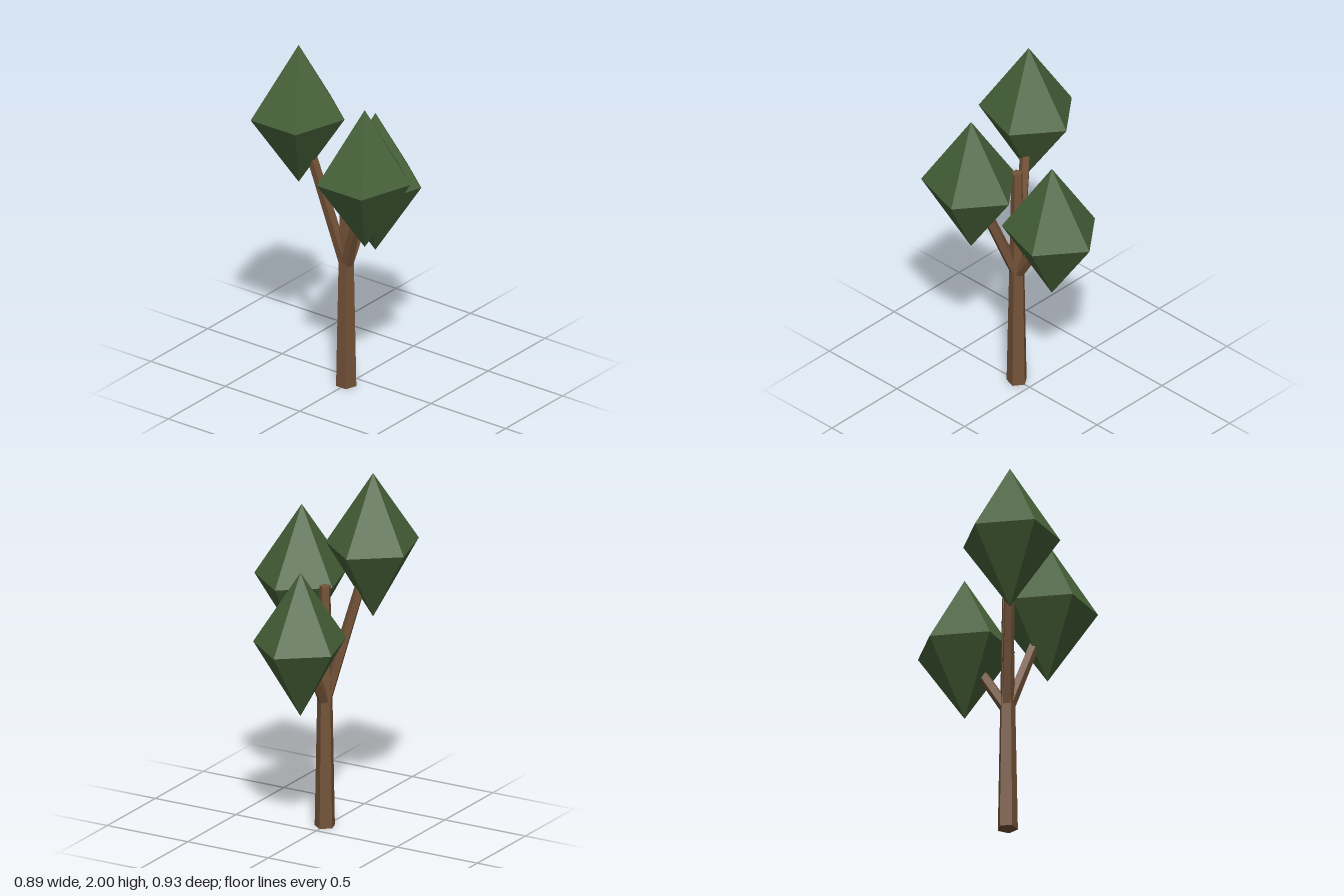
import * as THREE from 'three';

const bark = new THREE.MeshStandardMaterial({ color: 0x735238 });
bark.name = 'bark brown';
const leaf = new THREE.MeshStandardMaterial({ color: 0x456038 });
leaf.name = 'leaf green';

const SIDES = 5;
const UP = new THREE.Vector3(0, 1, 0);

// Give every face its own normal for a faceted look
function faceted(geometry) {
  const g = geometry.toNonIndexed();
  g.computeVertexNormals();
  return g;
}

// Tapered five-sided limb between two points
function limb(name, from, to, r0, r1) {
  const dir = to.clone().sub(from);
  const geo = new THREE.CylinderGeometry(r1, r0, dir.length(), SIDES, 1, false, Math.PI / 2);
  const mesh = new THREE.Mesh(faceted(geo), bark);
  mesh.name = name;
  mesh.position.copy(from).add(to).multiplyScalar(0.5);
  mesh.quaternion.setFromUnitVectors(UP, dir.normalize());
  return mesh;
}

// Five-sided double pyramid with one corner towards +x
function crown(name, center) {
  const geo = new THREE.SphereGeometry(1, SIDES, 2, Math.PI).scale(0.279, 0.406, 0.255);
  const mesh = new THREE.Mesh(faceted(geo), leaf);
  mesh.name = name;
  mesh.position.copy(center);
  return mesh;
}

export function createModel() {
  const tree = new THREE.Group();
  tree.name = 'tree';

  // Trunk, running up between the crowns
  const trunkX = -0.091;
  tree.add(limb('trunk', new THREE.Vector3(trunkX, 0, 0), new THREE.Vector3(trunkX, 1.36, 0), 0.057, 0.031));

  // Three branches, a third of a turn apart, each ending inside its crown
  const fork = new THREE.Vector3(trunkX, 0.7, 0);
  const parts = [['left', 1.107], ['front', 1.338], ['back', 1.594]];
  parts.forEach(([side, height], i) => {
    const a = (i * Math.PI * 2) / 3;
    const center = new THREE.Vector3(trunkX + 0.256 * Math.cos(a), height, 0.256 * Math.sin(a));
    tree.add(limb(side + 'Branch', fork, center, 0.034, 0.028));
    tree.add(crown(side + 'Crown', center));
  });

  return tree;
}
